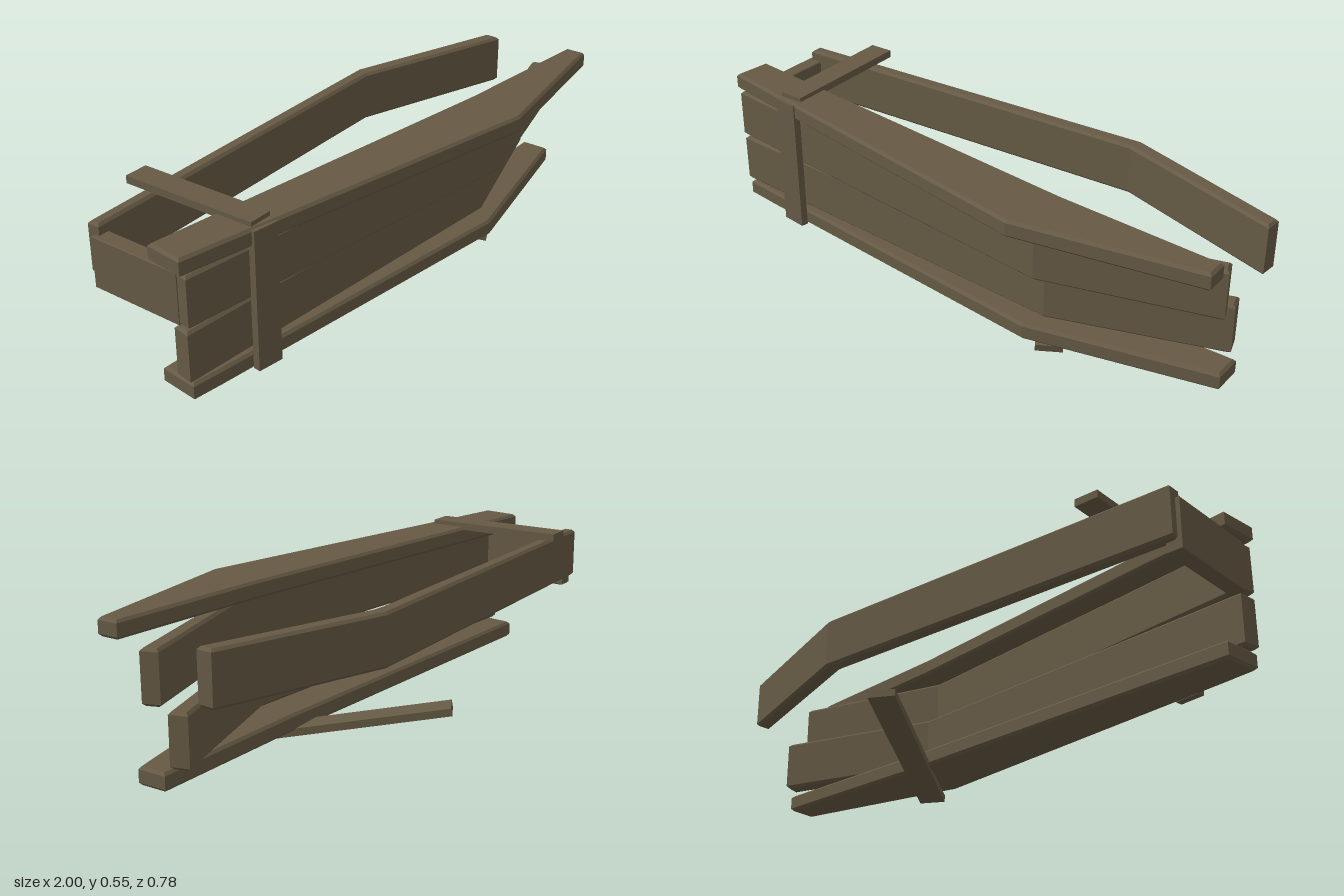
import * as THREE from 'three';

const wood = new THREE.MeshStandardMaterial({ color: 0x665a45 });
wood.name = 'weathered wood';

// Board cut to an outline of [x, z] points, standing between two heights, with chamfered edges
function board(name, outline, y0, y1, bevel = 0.009) {
  const shape = new THREE.Shape(outline.map(([x, z]) => new THREE.Vector2(x, -z)));
  const geometry = new THREE.ExtrudeGeometry(shape, {
    depth: y1 - y0 - 2 * bevel,
    bevelEnabled: true,
    bevelThickness: bevel,
    bevelSize: bevel,
    bevelOffset: -bevel,
    bevelSegments: 1,
  });
  geometry.rotateX(-Math.PI / 2).translate(0, y0 + bevel, 0);
  const mesh = new THREE.Mesh(geometry, wood);
  mesh.name = name;
  return mesh;
}

// Thin straight batten
function batten(name, size, position, rotation = [0, 0, 0]) {
  const mesh = new THREE.Mesh(new THREE.BoxGeometry(...size), wood);
  mesh.name = name;
  mesh.position.set(...position);
  mesh.rotation.set(...rotation);
  return mesh;
}

export function createModel() {
  const model = new THREE.Group();
  model.name = 'brokenCoffin';

  // Wide boards lying flat at the top and bottom
  model.add(board('topBoard',
    [[-0.985, 0], [0.42, 0.165], [1, 0.205], [1, 0.28], [0.37, 0.387], [-0.88, 0.157], [-1, 0.135]], 0.48, 0.54));
  model.add(board('bottomBoard',
    [[-0.96, 0], [0.4, 0.047], [1, 0.047], [1, 0.15], [0.37, 0.29], [-0.86, 0.15], [-0.975, 0.135]], 0.05, 0.11));

  // Bent boards of the front side
  const upper = board('upperFrontBoard',
    [[-0.975, 0.08], [0.42, 0.238], [0.965, 0.08], [0.985, 0.135], [0.41, 0.296], [-0.985, 0.14]], 0.297, 0.472);
  upper.rotation.z = -0.005;
  model.add(upper);
  model.add(board('lowerFrontBoard',
    [[-0.975, 0.075], [0.4, 0.165], [0.96, -0.015], [0.978, 0.045], [0.41, 0.227], [-0.985, 0.135]], 0.115, 0.292));

  // Bent board of the back side
  model.add(board('backBoard',
    [[-0.965, -0.265], [0.415, -0.33], [1, -0.145], [0.995, -0.088], [0.4, -0.275], [-0.965, -0.22]], 0.337, 0.514));

  // End board joining front and back
  model.add(board('endBoard',
    [[-0.98, -0.24], [-0.925, -0.24], [-0.925, 0.1], [-0.98, 0.1]], 0.301, 0.477, 0.003));

  // Battens nailed across the top, down the front, and one hanging loose below
  model.add(batten('topBatten', [0.085, 0.026, 0.495], [-0.703, 0.542, -0.077], [0, 0.02, 0]));
  model.add(batten('frontBatten', [0.092, 0.48, 0.026], [-0.704, 0.295, 0.184], [0, -0.13, 0]));
  const loose = batten('looseBatten', [0.09, 0.026, 0.705], [0.27, 0.071, -0.065]);
  loose.rotation.set(0.162, 0.516, 0, 'YXZ');
  model.add(loose);

  return model;
}
